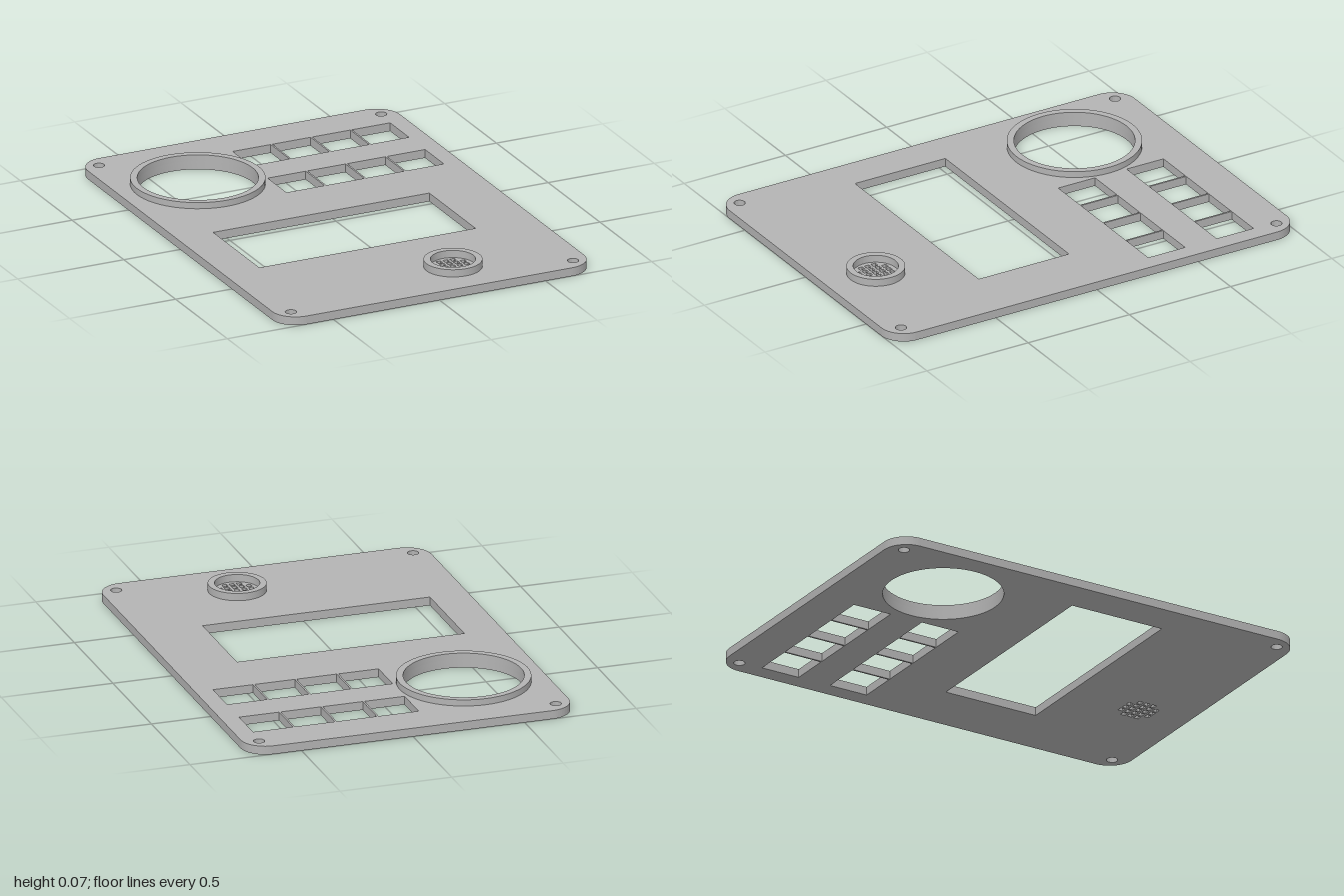
import * as THREE from 'three';
import { toCreasedNormals } from 'three/addons/utils/BufferGeometryUtils.js';

const PLATE = 0.038; // plate thickness
const DIAL = { x: -0.38, z: -0.556, outer: 0.287, inner: 0.257, top: 0.066 };
const SPEAKER = { x: 0.18, z: 0.761, outer: 0.125, inner: 0.096, top: 0.071 };

// Outlines are drawn in plan, with shape y = -z
function circle(Type, x, z, r) {
  const c = new Type();
  c.absarc(x, -z, r, 0, Math.PI * 2, false);
  return c;
}

function rectHole(x0, x1, z0, z1) {
  const p = new THREE.Path();
  p.moveTo(x0, -z0);
  p.lineTo(x1, -z0);
  p.lineTo(x1, -z1);
  p.lineTo(x0, -z1);
  p.closePath();
  return p;
}

function roundedRect(w, d, r) {
  const s = new THREE.Shape();
  const x = w / 2 - r, y = d / 2 - r;
  s.absarc(x, y, r, 0, Math.PI / 2, false);
  s.absarc(-x, y, r, Math.PI / 2, Math.PI, false);
  s.absarc(-x, -y, r, Math.PI, Math.PI * 1.5, false);
  s.absarc(x, -y, r, Math.PI * 1.5, Math.PI * 2, false);
  s.closePath();
  return s;
}

// Raise a plan outline from y0 to y1
function slab(name, shape, y0, y1, material) {
  let g = new THREE.ExtrudeGeometry(shape, { depth: y1 - y0, bevelEnabled: false, curveSegments: 32 });
  g.rotateX(-Math.PI / 2);
  g.translate(0, y0, 0);
  g = toCreasedNormals(g, 0.6);
  const mesh = new THREE.Mesh(g, material);
  mesh.name = name;
  return mesh;
}

export function createModel() {
  const model = new THREE.Group();
  model.name = 'controlPanel';
  const grey = new THREE.MeshStandardMaterial({ color: 0xb3b3b3 });
  grey.name = 'panelGrey';

  // Face plate with all its cut-outs
  const plate = roundedRect(1.47, 2, 0.11);
  for (const x of [-0.665, 0.665])
    for (const z of [-0.927, 0.927]) plate.holes.push(circle(THREE.Path, x, z, 0.024));
  for (const { x, z, inner } of [DIAL, SPEAKER]) plate.holes.push(circle(THREE.Path, x, z, inner));
  plate.holes.push(rectHole(-0.565, 0.454, -0.029, 0.417));

  // Two rows of four button openings separated by thin ribs
  const pitch = 0.1875, rib = 0.008;
  for (const [z0, z1] of [[-0.82, -0.638], [-0.482, -0.3]])
    for (let i = 0; i < 4; i++) {
      const x0 = -0.087 + i * pitch;
      plate.holes.push(rectHole(x0, x0 + pitch - rib, z0, z1));
    }
  model.add(slab('facePlate', plate, 0, PLATE, grey));

  // Raised collars around the dial and speaker openings
  for (const [name, { x, z, outer, inner, top }] of [['dialCollar', DIAL], ['speakerCollar', SPEAKER]]) {
    const ring = circle(THREE.Shape, x, z, outer);
    ring.holes.push(circle(THREE.Path, x, z, inner));
    model.add(slab(name, ring, PLATE, top, grey));
  }

  // Speaker grille: rows of 3, 5, 5, 5, 3 square holes
  const grille = circle(THREE.Shape, SPEAKER.x, SPEAKER.z, SPEAKER.inner);
  const step = 0.0325, half = 0.011;
  for (let row = -2; row <= 2; row++) {
    const reach = Math.abs(row) === 2 ? 1 : 2;
    for (let col = -reach; col <= reach; col++) {
      const x = SPEAKER.x + col * step, z = SPEAKER.z + row * step;
      grille.holes.push(rectHole(x - half, x + half, z - half, z + half));
    }
  }
  model.add(slab('speakerGrille', grille, 0, PLATE, grey));

  return model;
}
